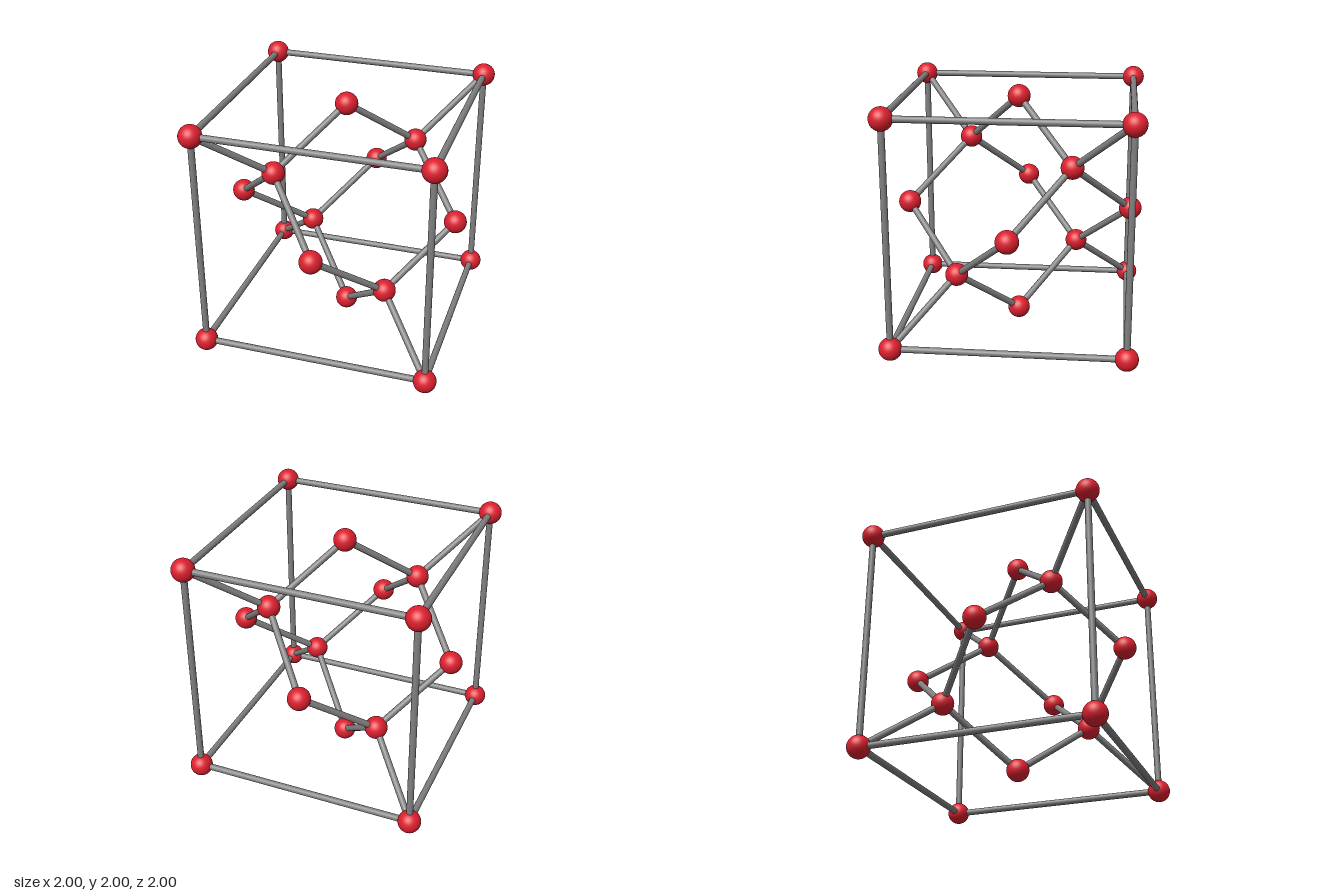
import * as THREE from 'three';

const A = 0.909;          // half the cell edge
const ATOM_RADIUS = 0.091;
const ROD_RADIUS = 0.026;

export function createModel() {
  const red = new THREE.MeshStandardMaterial({ color: 0xdc1f2e });
  red.name = 'atom red';
  const grey = new THREE.MeshStandardMaterial({ color: 0x808080 });
  grey.name = 'rod grey';

  const model = new THREE.Group();
  model.name = 'diamondCell';
  const sphere = new THREE.SphereGeometry(ATOM_RADIUS, 32, 20);
  const at = (x, y, z) => new THREE.Vector3(x * A, 1 + y * A, z * A);

  function addAtom(name, position) {
    const atom = new THREE.Mesh(sphere, red);
    atom.name = name;
    atom.position.copy(position);
    model.add(atom);
    return position;
  }

  function addRod(name, from, to) {
    const axis = to.clone().sub(from);
    const rod = new THREE.Mesh(
      new THREE.CylinderGeometry(ROD_RADIUS, ROD_RADIUS, axis.length(), 20), grey);
    rod.name = name;
    rod.position.copy(from).add(to).multiplyScalar(0.5);
    rod.quaternion.setFromUnitVectors(new THREE.Vector3(0, 1, 0), axis.normalize());
    model.add(rod);
  }

  const signs = [-1, 1];
  for (const x of signs) for (const y of signs) {
    // Cube edges along each axis
    addRod('edgeRodX', at(-1, x, y), at(1, x, y));
    addRod('edgeRodY', at(x, -1, y), at(x, 1, y));
    addRod('edgeRodZ', at(x, y, -1), at(x, y, 1));

    for (const z of signs) {
      const corner = addAtom('cornerAtom', at(x, y, z));
      if (x * y * z > 0) continue;
      // Inner atom bonded to its corner and the three nearest face centres
      const inner = addAtom('innerAtom', at(x / 2, y / 2, z / 2));
      const neighbours = [corner, at(x, 0, 0), at(0, y, 0), at(0, 0, z)];
      for (const neighbour of neighbours) addRod('bondRod', inner, neighbour);
    }
  }

  // Face-centre atoms
  for (const s of signs) {
    addAtom('faceAtomX', at(s, 0, 0));
    addAtom('faceAtomY', at(0, s, 0));
    addAtom('faceAtomZ', at(0, 0, s));
  }
  return model;
}
